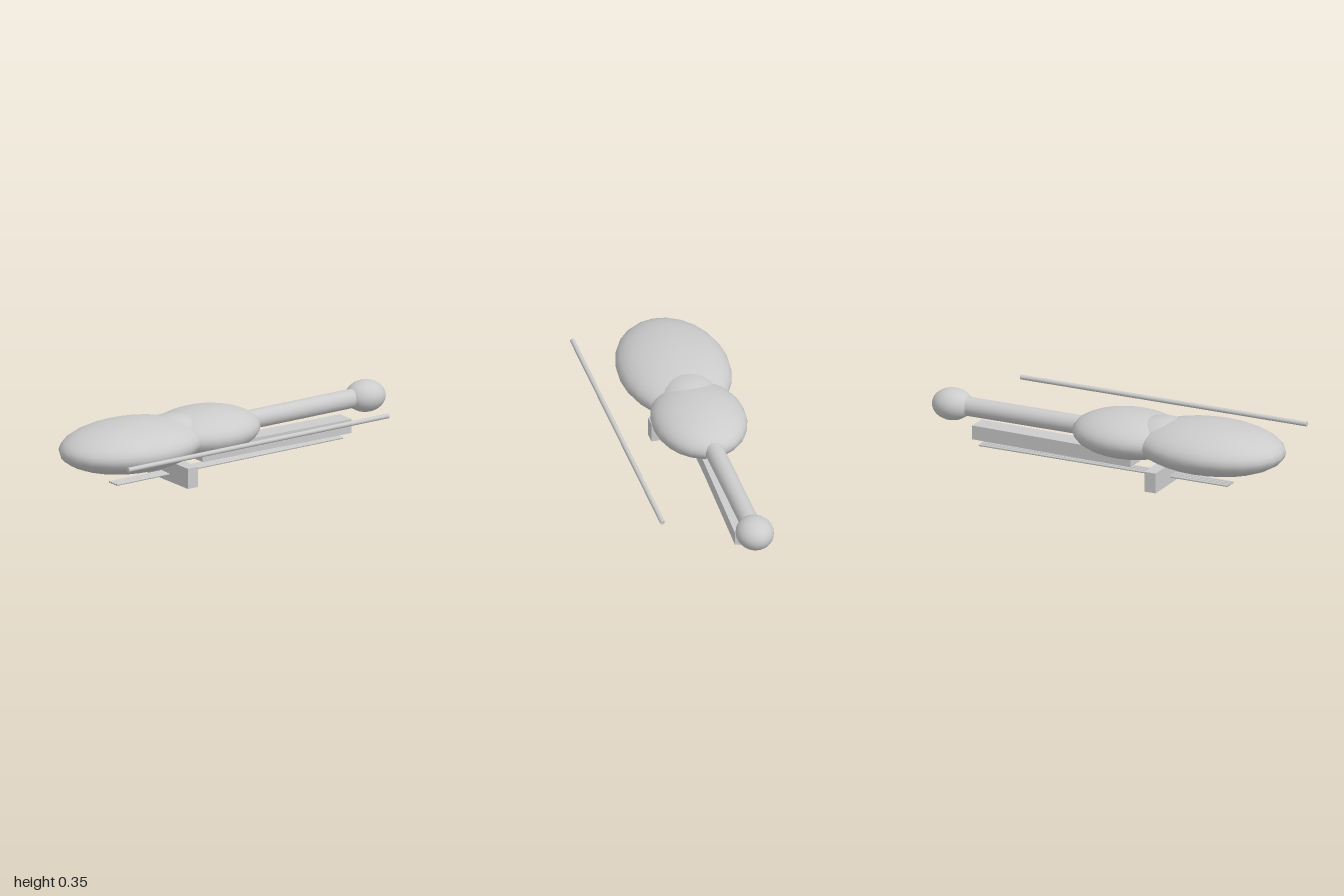
import * as THREE from 'three';

const material = new THREE.MeshStandardMaterial({ color: 0xcccccc });
const AXIS_Z = -0.082; // centre line of the instrument

export function createModel() {
  const group = new THREE.Group();

  function add(name, geometry, x, y, z) {
    const mesh = new THREE.Mesh(geometry, material);
    mesh.name = name;
    mesh.position.set(x, y, z);
    group.add(mesh);
    return mesh;
  }

  function ellipsoid(name, x, y, rx, ry, rz, segments = 24) {
    const geometry = new THREE.SphereGeometry(1, segments, segments * 2 / 3);
    add(name, geometry, x, y, AXIS_Z).scale.set(rx, ry, rz);
  }

  // Round bar running along x between two ends
  function bar(name, x0, x1, y, z, radius, sides) {
    const geometry = new THREE.CylinderGeometry(radius, radius, x1 - x0, sides);
    geometry.rotateZ(-Math.PI / 2);
    add(name, geometry, (x0 + x1) / 2, y, z);
  }

  // Body: two bouts joined by a waist
  ellipsoid('lowerBout', -0.59, 0.228, 0.41, 0.127, 0.29);
  ellipsoid('upperBout', -0.13, 0.228, 0.31, 0.117, 0.245);
  ellipsoid('waist', -0.32, 0.228, 0.2, 0.115, 0.17);

  // Neck and rounded head
  bar('neck', 0.1, 0.82, 0.228, AXIS_Z, 0.05, 24);
  ellipsoid('head', 0.888, 0.228, 0.108, 0.083, 0.098, 30);

  // Fingerboard, turned slightly off the centre line
  const board = add('fingerboard', new THREE.BoxGeometry(0.92, 0.075, 0.105), 0.295, 0.1045, AXIS_Z);
  board.rotation.y = -0.03;

  // Bridge under the body
  add('bridge', new THREE.BoxGeometry(0.065, 0.108, 0.4), -0.342, 0.054, AXIS_Z);

  // Four strings through the bridge
  for (let i = 0; i < 4; i++) {
    bar('string', -0.705, 0.72, 0.039, AXIS_Z + (i - 1.5) * 0.02, 0.006, 12);
  }

  // Bow lying alongside
  bar('bow', -0.925, 0.715, 0.26, 0.361, 0.0125, 16);

  return group;
}
